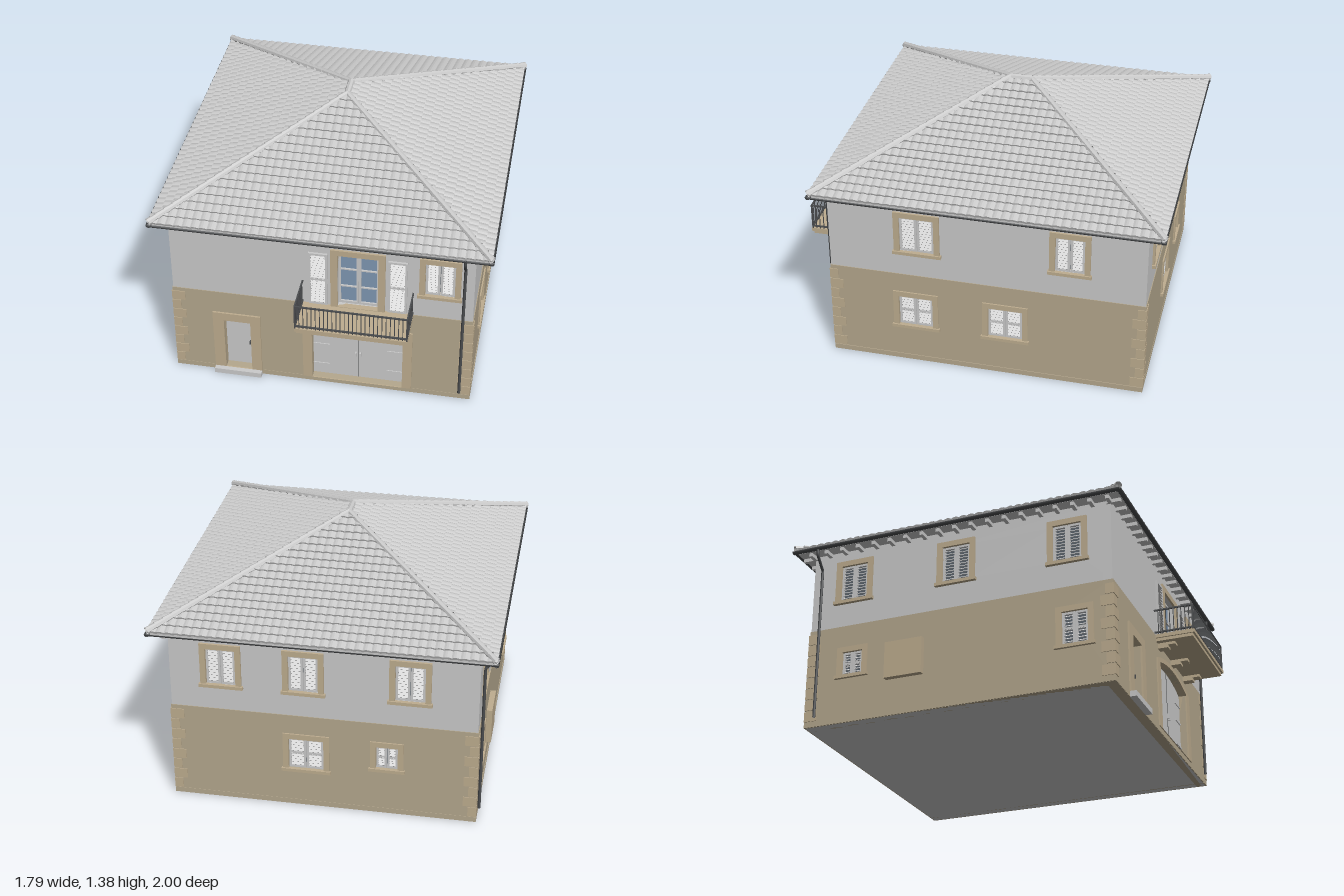
import * as THREE from 'three';

const mat = (color, extra = {}) => new THREE.MeshStandardMaterial({ color, ...extra });
const GREY = mat(0xcccccc);
const TILE = mat(0xcccccc, { flatShading: true, side: THREE.DoubleSide });
const BEIGE = mat(0xb5a88e);
const TRIM = mat(0xbfae90);
const IRON = mat(0x4c4e50, { side: THREE.DoubleSide });
const GLASS = mat(0x59626b);
const BLUE = mat(0x8098b4);

const W = 0.8, FRONT = 0.78, BACK = -0.905, SPLIT = 0.55, TOP = 1.0;
const V = (x, y, z) => new THREE.Vector3(x, y, z);

function add(parent, name, geo, material, x = 0, y = 0, z = 0) {
  const m = new THREE.Mesh(geo, material);
  m.name = name;
  m.position.set(x, y, z);
  parent.add(m);
  return m;
}
// box given by its min and max along each axis
const box = (parent, name, material, x0, x1, y0, y1, z0, z1) =>
  add(parent, name, new THREE.BoxGeometry(x1 - x0, y1 - y0, z1 - z0), material, (x0 + x1) / 2, (y0 + y1) / 2, (z0 + z1) / 2);

function group(parent, name, x = 0, y = 0, z = 0, ry = 0) {
  const g = new THREE.Group();
  g.name = name;
  g.position.set(x, y, z);
  g.rotation.y = ry;
  parent.add(g);
  return g;
}
// rectangle whose top edge may be arched
function outline([x0, x1, y0, y1, rise = 0], Type = THREE.Shape) {
  const s = new Type();
  s.moveTo(x0, y0);
  s.lineTo(x1, y0);
  s.lineTo(x1, y1);
  if (rise) s.quadraticCurveTo((x0 + x1) / 2, y1 + 2 * rise, x0, y1);
  else s.lineTo(x0, y1);
  s.closePath();
  return s;
}
function plate(parent, name, material, outer, holes, z0, z1) {
  const s = outline(outer);
  for (const h of holes) s.holes.push(outline(h, THREE.Path));
  return add(parent, name, new THREE.ExtrudeGeometry(s, { depth: z1 - z0, bevelEnabled: false, curveSegments: 20 }), material, 0, 0, z0);
}

// louvred leaf, centred on x, standing on y = 0
function louvre(parent, x, y, z, w, h, midRail) {
  const g = group(parent, 'shutter', x, y, z), b = 0.012, a = w / 2;
  plate(g, 'shutterFrame', GREY, [-a, a, 0, h], [[-a + b, a - b, b, h - b]], -0.006, 0.006);
  if (midRail) box(g, 'midRail', GREY, -a + b, a - b, h / 2 - 0.008, h / 2 + 0.008, -0.005, 0.006);
  const n = Math.round(h / 0.019);
  for (let i = 0; i < n; i++) {
    const s = add(g, 'slat', new THREE.BoxGeometry(w - 2 * b, 0.003, 0.015), GREY, 0, b + (i + 0.5) * (h - 2 * b) / n, 0);
    s.rotation.x = 0.7;
  }
}
function windowUnit(parent, [u, y, w, h]) {
  const g = group(parent, 'window', u, y, 0), a = w / 2, m = 0.03, lower = y < SPLIT;
  plate(g, 'surround', TRIM, [-a - m, a + m, -0.012, h + m], [[-a, a, 0, h]], -0.02, 0.012);
  box(g, 'sill', TRIM, -a - m - 0.008, a + m + 0.008, -0.018, 0, -0.03, 0.02);
  box(g, 'glass', GLASS, -a, a, 0, h, -0.04, -0.03);
  for (const s of [-1, 1]) louvre(g, s * a / 2, 0, -0.008, a - 0.003, h, lower);
}
// one facade in local coordinates: u to the right, y up, z outwards
function facade(house, name, pos, ry, u0, u1, windows, extraLow = [], extraHigh = []) {
  const g = group(house, name, pos[0], pos[1], pos[2], ry);
  const holes = low => windows.filter(w => (w[1] < SPLIT) === low).map(([u, y, w, h]) => [u - w / 2, u + w / 2, y, y + h]);
  plate(g, 'lowerWall', BEIGE, [u0 - 0.004, u1 + 0.004, 0, SPLIT], [...holes(true), ...extraLow], -0.05, 0.004);
  plate(g, 'upperWall', GREY, [u0, u1, SPLIT, TOP], [...holes(false), ...extraHigh], -0.05, 0);
  windows.forEach(w => windowUnit(g, w));
  return g;
}

// one roof plane of stepped, rounded tiles: a, b eave; c, d ridge
function roofPlane(parent, a, b, c, d, courses = 18) {
  const e = b.clone().sub(a).normalize();
  const n = e.clone().cross(d.clone().sub(a)).normalize();
  const pos = [], step = 0.011;
  const point = (s, t, lift) => {
    const L = a.clone().lerp(d, t), R = b.clone().lerp(c, t);
    const sL = L.clone().sub(a).dot(e), sR = R.sub(a).dot(e);
    const k = Math.min(Math.max(s, sL), sR);
    const wave = 0.006 * Math.abs(Math.sin(Math.PI * k / (4 * step)));
    return L.addScaledVector(e, k - sL).addScaledVector(n, lift + wave);
  };
  const quad = (p, q, r, s) => [p, q, r, p, r, s].forEach(v => pos.push(v.x, v.y, v.z));
  for (let i = 0; i < courses; i++) {
    const t0 = i / courses, t1 = (i + 1) / courses;
    const s0 = a.clone().lerp(d, t0).sub(a).dot(e), s1 = b.clone().lerp(c, t0).sub(a).dot(e);
    for (let k = Math.floor(s0 / step); k * step < s1; k++) {
      const l = k * step, r = l + step;
      const p = point(l, t0, 0.01), q = point(r, t0, 0.01);
      quad(p, q, point(r, t1, 0), point(l, t1, 0));
      quad(point(l, t0, -0.004), point(r, t0, -0.004), q, p);
    }
  }
  const geo = new THREE.BufferGeometry();
  geo.setAttribute('position', new THREE.Float32BufferAttribute(pos, 3));
  geo.computeVertexNormals();
  add(parent, 'roofTiles', geo, TILE);
}
// row of overlapping cap tiles
function caps(parent, from, to, n) {
  const dir = to.clone().sub(from), len = dir.length() / n;
  for (let i = 0; i < n; i++) {
    const p = from.clone().addScaledVector(dir, (i + 0.5) / n);
    const m = add(parent, 'capTile', new THREE.CylinderGeometry(0.015, 0.02, len * 1.1, 8, 1, true), TILE, p.x, p.y, p.z);
    m.quaternion.setFromUnitVectors(V(0, 1, 0), dir.clone().normalize());
  }
}

function buildRoof(house) {
  const roof = group(house, 'roof'), y = 1.015, X = 0.88, Z0 = -0.99, Z1 = 0.85;
  const fl = V(-X, y, Z1), fr = V(X, y, Z1), br = V(X, y, Z0), bl = V(-X, y, Z0);
  const rf = V(0, 1.36, -0.01), rb = V(0, 1.36, -0.125);
  roofPlane(roof, fl, fr, rf, rf);
  roofPlane(roof, fr, br, rb, rf);
  roofPlane(roof, br, bl, rb, rb);
  roofPlane(roof, bl, fl, rf, rb);
  for (const [p, q] of [[fl, rf], [fr, rf], [br, rb], [bl, rb]]) caps(roof, p.clone().setY(y + 0.012), q, 24);
  caps(roof, rb, rf, 2);
  box(roof, 'soffit', GREY, -X + 0.01, X - 0.01, 0.998, 1.012, Z0 + 0.01, Z1 - 0.01);
  // rafter tails under the eaves
  for (let i = 0; i < 19; i++) {
    const x = -0.8 + i * 1.6 / 18, z = BACK + i * (FRONT - BACK) / 18;
    box(roof, 'rafter', GREY, x - 0.01, x + 0.01, 0.978, 0.998, FRONT - 0.02, Z1 - 0.015);
    box(roof, 'rafter', GREY, x - 0.01, x + 0.01, 0.978, 0.998, Z0 + 0.015, BACK + 0.02);
    for (const s of [-1, 1]) box(roof, 'rafter', GREY, s * 0.825 - 0.035, s * 0.825 + 0.035, 0.978, 0.998, z - 0.01, z + 0.01);
  }
  // half-round gutters
  const gutter = (len, x, z, ry) => {
    const geo = new THREE.CylinderGeometry(0.014, 0.014, len, 8, 1, true, -Math.PI / 2, Math.PI);
    geo.rotateX(Math.PI / 2).rotateY(ry);
    add(roof, 'gutter', geo, IRON, x, 1.009, z);
  };
  for (const z of [Z0 + 0.004, Z1]) gutter(2 * X + 0.02, 0, z, Math.PI / 2);
  for (const x of [-X, X]) gutter(Z1 - Z0 + 0.02, x, (Z0 + Z1) / 2, 0);
}

function buildBalcony(g) {
  const b = group(g, 'balcony'), x0 = -0.1, x1 = 0.49, z1 = 0.215;
  box(b, 'slab', TRIM, x0, x1, 0.532, 0.552, 0, z1 + 0.003);
  box(b, 'slabMoulding', TRIM, x0 + 0.008, x1 - 0.008, 0.515, 0.532, 0, z1 - 0.008);
  for (const x of [-0.04, 0.195, 0.43]) {
    box(b, 'bracket', TRIM, x - 0.022, x + 0.022, 0.5, 0.515, 0, 0.1);
    box(b, 'bracket', TRIM, x - 0.022, x + 0.022, 0.485, 0.5, 0, 0.06);
  }
  for (const y of [0.565, 0.695]) {
    box(b, 'rail', IRON, x0, x1, y - 0.004, y + 0.004, z1 - 0.008, z1);
    for (const x of [x0 + 0.004, x1 - 0.004]) box(b, 'rail', IRON, x - 0.004, x + 0.004, y - 0.004, y + 0.004, 0, z1);
  }
  const bar = (x, z, r) => box(b, 'baluster', IRON, x - r, x + r, 0.552, 0.695, z - r, z + r);
  for (let i = 0; i <= 27; i++) bar(x0 + 0.004 + i * (x1 - x0 - 0.008) / 27, z1 - 0.004, i % 27 ? 0.002 : 0.004);
  for (let i = 1; i < 10; i++) for (const x of [x0 + 0.004, x1 - 0.004]) bar(x, i * 0.0212, 0.002);
}

function buildFront(g) {
  // entrance
  plate(g, 'doorSurround', TRIM, [-0.59, -0.33, 0.03, 0.413], [[-0.53, -0.385, 0.03, 0.363]], -0.03, 0.014);
  box(g, 'frontDoor', GREY, -0.53, -0.385, 0.03, 0.363, -0.05, -0.035);
  box(g, 'doorHandle', IRON, -0.402, -0.395, 0.18, 0.2, -0.035, -0.02);
  box(g, 'doorStep', GREY, -0.59, -0.33, 0, 0.03, -0.05, 0.04);
  // arched gate
  plate(g, 'gateSurround', TRIM, [-0.1, 0.49, 0.03, 0.42, 0.055], [[-0.05, 0.44, 0.03, 0.41, 0.04]], -0.03, 0.012);
  plate(g, 'gate', GREY, [-0.05, 0.44, 0.03, 0.41, 0.04], [], -0.05, -0.033);
  box(g, 'gateSeam', IRON, 0.1935, 0.1965, 0.03, 0.447, -0.035, -0.031);
  for (const s of [-1, 1]) {
    box(g, 'gateHandle', GREY, 0.195 + s * 0.012 - 0.004, 0.195 + s * 0.012 + 0.004, 0.18, 0.21, -0.033, -0.02);
    for (const y of [0.1, 0.24, 0.34]) box(g, 'hinge', GREY, 0.195 + s * 0.2 - 0.045, 0.195 + s * 0.2 + 0.045, y - 0.004, y + 0.004, -0.033, -0.028);
  }
  // balcony door with open shutters
  plate(g, 'balconyDoorSurround', TRIM, [0.053, 0.34, 0.552, 0.928], [[0.09, 0.303, 0.555, 0.895]], -0.02, 0.012);
  box(g, 'balconyDoorGlass', BLUE, 0.09, 0.303, 0.555, 0.895, -0.05, -0.035);
  for (const x of [0.09, 0.197]) {
    const panes = [[0.57, 0.665], [0.672, 0.778], [0.785, 0.883]].map(([p, q]) => [x + 0.012, x + 0.094, p, q]);
    plate(g, 'balconyDoorLeaf', GREY, [x, x + 0.106, 0.555, 0.895], panes, -0.036, -0.026);
  }
  for (const x of [-0.012, 0.405]) louvre(g, x, 0.56, 0.009, 0.1, 0.335, true);
  buildBalcony(g);
}

export function createModel() {
  const house = new THREE.Group();
  house.name = 'house';
  const up = (u, w = 0.155) => [u, 0.7, w, 0.205];
  const low = u => [u, 0.23, 0.185, 0.18];
  const small = (u, y) => [u, y, 0.115, 0.13];

  const front = facade(house, 'frontFacade', [0, 0, FRONT], 0, -W, W, [up(0.623)],
    [[-0.53, -0.385, 0.03, 0.363], [-0.05, 0.44, 0.03, 0.41, 0.04]], [[0.09, 0.303, 0.555, 0.895]]);
  buildFront(front);
  facade(house, 'leftFacade', [W, 0, 0], Math.PI / 2, -FRONT, -BACK, [up(-0.302, 0.185), up(0.507), low(-0.318), low(0.168)]);
  facade(house, 'backFacade', [0, 0, BACK], Math.PI, -W, W, [up(-0.53), up(-0.1), up(0.45), low(-0.09), small(0.335, 0.28)]);
  const right = facade(house, 'rightFacade', [-W, 0, 0], -Math.PI / 2, BACK, FRONT,
    [up(-0.66), up(-0.07), up(0.545), small(-0.65, 0.265), [0.58, 0.23, 0.14, 0.18]]);
  box(right, 'meterCabinet', TRIM, -0.45, -0.24, 0.2, 0.4, 0, 0.034);

  // ground slab, low plinth and corner stones
  box(house, 'groundSlab', GREY, -W, W, 0, 0.008, BACK, FRONT);
  for (const x of [-1, 1]) box(house, 'plinth', BEIGE, x * 0.784 - 0.024, x * 0.784 + 0.024, 0.001, 0.03, BACK - 0.006, FRONT + 0.006);
  for (const z of [FRONT - 0.018, BACK + 0.018]) box(house, 'plinth', BEIGE, -0.806, 0.806, 0.001, 0.03, z - 0.024, z + 0.024);
  for (const sx of [-1, 1]) for (const [z, sz] of [[FRONT, 1], [BACK, -1]])
    for (let i = 0; i < 8; i++) {
      const wx = i % 2 ? 0.072 : 0.046, wz = i % 2 ? 0.046 : 0.072;
      add(house, 'cornerStone', new THREE.BoxGeometry(wx, 0.056, wz), TRIM,
        sx * (W + 0.008 - wx / 2), 0.062 + i * 0.0625, z + sz * (0.008 - wz / 2));
    }

  // downpipes
  const pipe = pts => {
    const path = new THREE.CurvePath();
    for (let i = 1; i < pts.length; i++) path.add(new THREE.LineCurve3(pts[i - 1], pts[i]));
    add(house, 'downpipe', new THREE.TubeGeometry(path, 48, 0.008, 8), IRON);
  };
  pipe([V(0.75, 1, 0.85), V(0.75, 0.965, 0.848), V(0.75, 0.9, 0.797), V(0.75, 0.05, 0.797)]);
  pipe([V(-0.882, 1, -0.85), V(-0.88, 0.965, -0.85), V(-0.817, 0.9, -0.85), V(-0.817, 0.05, -0.85)]);

  buildRoof(house);
  return house;
}
